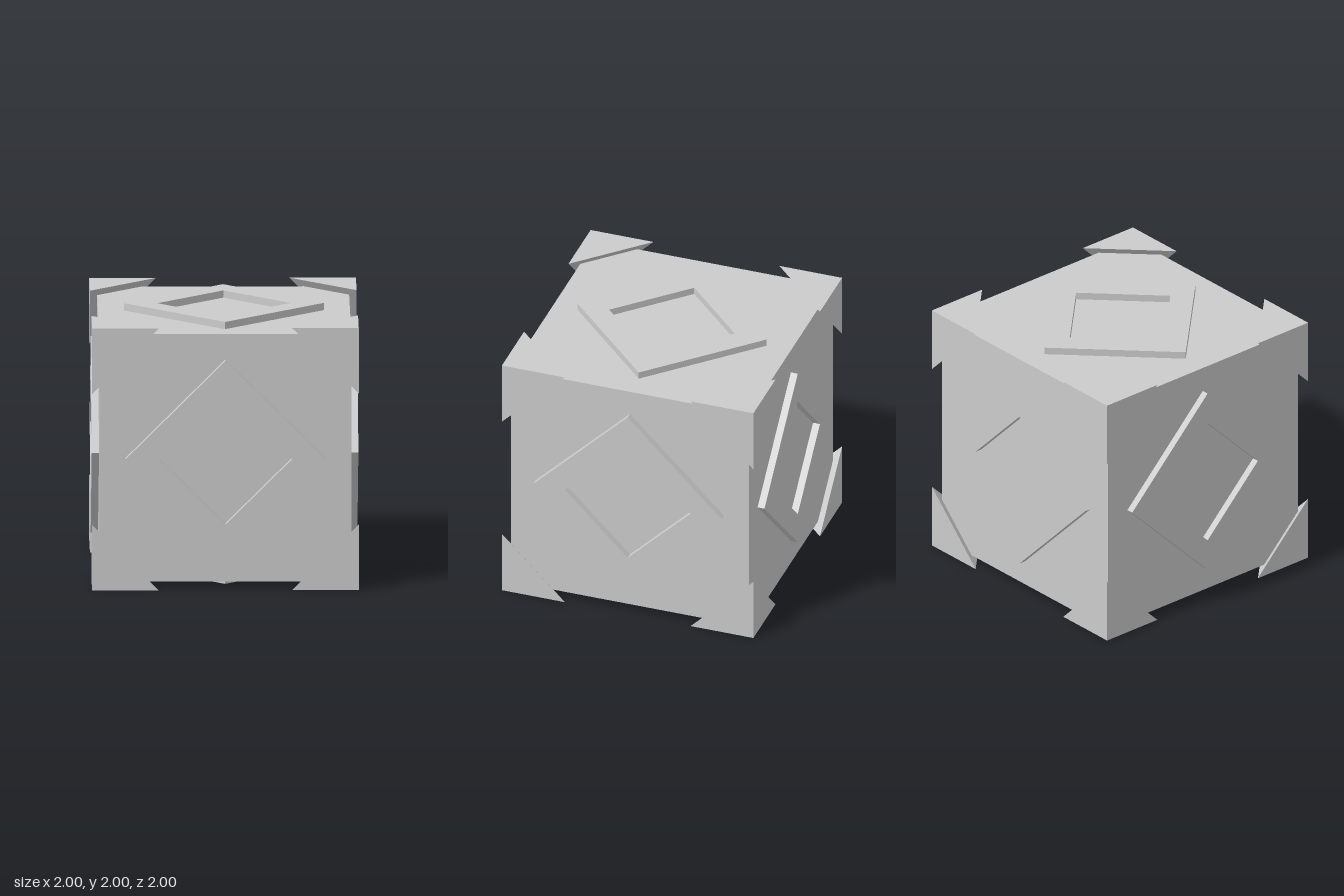
import * as THREE from 'three';
import { ConvexGeometry } from 'three/addons/geometries/ConvexGeometry.js';

const CORE = 0.945;  // half size of the inner cube
const OUTER = 1;     // half size over the raised parts
const LEG = 0.5;     // edge length of each corner cap

const material = new THREE.MeshStandardMaterial({ color: 0xcccccc, flatShading: true });

function addMesh(parent, name, geometry) {
  const mesh = new THREE.Mesh(geometry, material);
  mesh.name = name;
  parent.add(mesh);
  return mesh;
}

function diamond(PathType, r) {
  return new PathType([[r, 0], [0, r], [-r, 0], [0, -r]].map(([x, y]) => new THREE.Vector2(x, y)));
}

export function createModel() {
  const crate = new THREE.Group();
  crate.name = 'crate';
  crate.position.y = OUTER;

  // Inner cube
  addMesh(crate, 'core', new THREE.BoxGeometry(2 * CORE, 2 * CORE, 2 * CORE));

  // Raised diamond frame on each of the six faces
  const shape = diamond(THREE.Shape, 0.75);
  shape.holes.push(diamond(THREE.Path, 0.5));
  const frame = new THREE.ExtrudeGeometry(shape, { depth: OUTER - CORE, bevelEnabled: false });
  frame.translate(0, 0, CORE);
  const faces = {
    front: [0, 0], right: [0, -Math.PI / 2], back: [0, Math.PI], left: [0, Math.PI / 2],
    top: [-Math.PI / 2, 0], bottom: [Math.PI / 2, 0],
  };
  for (const [side, [rx, ry]] of Object.entries(faces)) {
    addMesh(crate, `${side}DiamondFrame`, frame).rotation.set(rx, ry, 0);
  }

  // Pyramid cap on each of the eight corners, overhanging the cube
  for (const x of [-1, 1]) for (const y of [-1, 1]) for (const z of [-1, 1]) {
    const tip = new THREE.Vector3(x, y, z).multiplyScalar(OUTER);
    const points = [
      tip,
      tip.clone().setX(x * (OUTER - LEG)),
      tip.clone().setY(y * (OUTER - LEG)),
      tip.clone().setZ(z * (OUTER - LEG)),
    ];
    const name = `${y > 0 ? 'top' : 'bottom'}${z > 0 ? 'Front' : 'Back'}${x > 0 ? 'Left' : 'Right'}CornerCap`;
    addMesh(crate, name, new ConvexGeometry(points));
  }

  const model = new THREE.Group();
  model.name = 'model';
  model.add(crate);
  return model;
}
